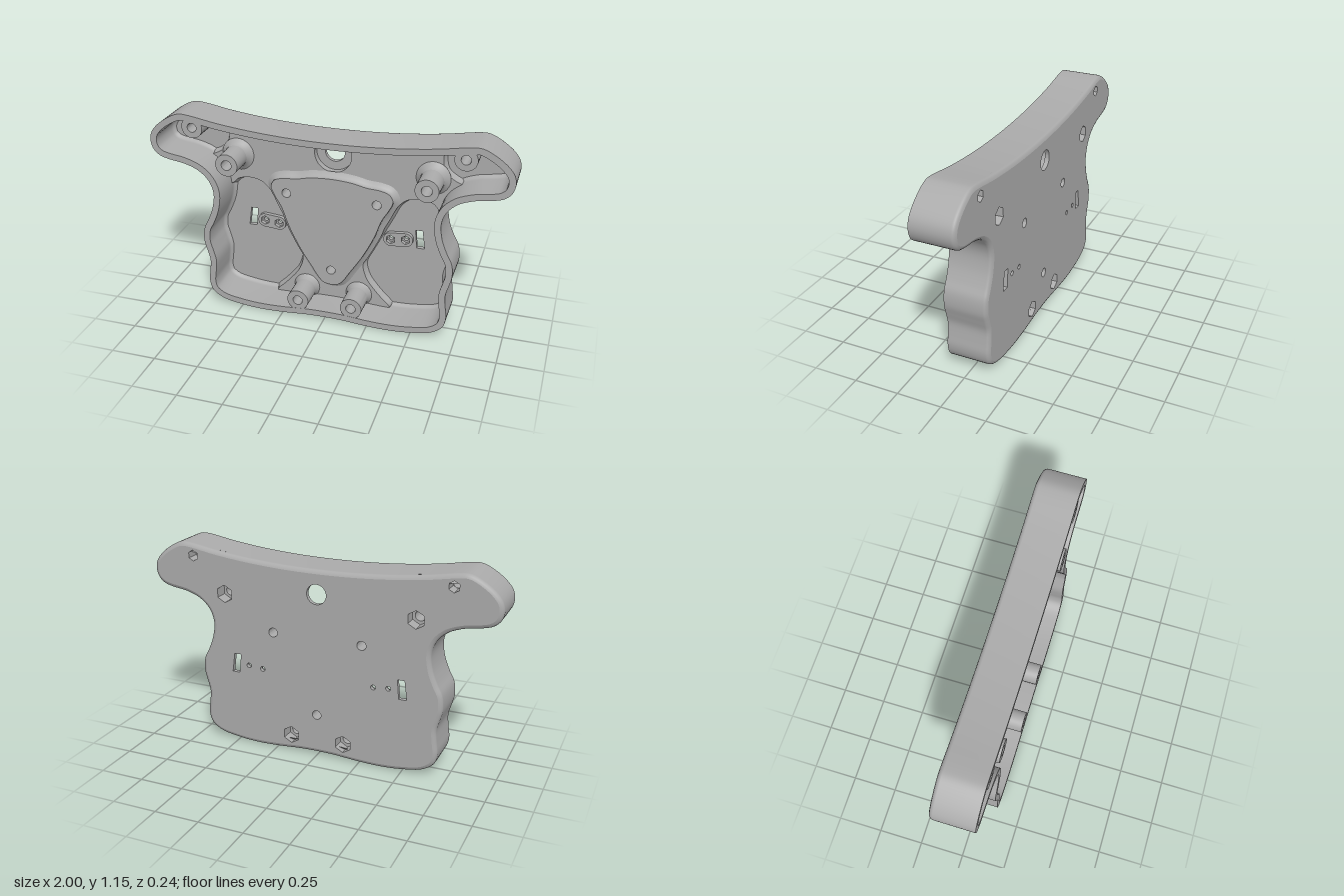
import * as THREE from 'three';
import { toCreasedNormals } from 'three/addons/utils/BufferGeometryUtils.js';

const V = (x, y) => new THREE.Vector2(x, y);
const FRONT = 0.12, BACK = -0.12, FLOOR = -0.095, STEP = -0.055, DECK = -0.015;

// Mirrors a half profile (top centre to bottom centre), counter-clockwise; optionally smoothed
function mirrored(half, samples = 0) {
  const right = half.map(([x, y]) => V(x, y));
  const left = half.slice(1, -1).reverse().map(([x, y]) => V(-x, y));
  let pts = [...right, ...left];
  if (samples) {
    const curve = new THREE.CatmullRomCurve3(pts.map(p => new THREE.Vector3(p.x, p.y, 0)), true, 'centripetal');
    pts = curve.getPoints(samples).slice(0, -1).map(p => V(p.x, p.y));
  }
  return THREE.ShapeUtils.area(pts) < 0 ? pts.reverse() : pts;
}

// Moves a counter-clockwise outline outward by d
function offset(pts, d) {
  const n = pts.length;
  return pts.map((p, i) => {
    const a = pts[(i + n - 1) % n], b = pts[(i + 1) % n];
    const t = V(b.x - a.x, b.y - a.y).normalize();
    return V(p.x + t.y * d, p.y - t.x * d);
  });
}

function disc(x, y, r, n = 28) {
  return Array.from({ length: n }, (_, i) => {
    const a = Math.PI / 2 + (i / n) * Math.PI * 2;
    return V(x + r * Math.cos(a), y + r * Math.sin(a));
  });
}

function shape(pts, holes = []) {
  const s = new THREE.Shape(pts);
  s.holes = holes.map(h => new THREE.Path(h));
  return s;
}

function slab(pts, holes, z0, z1) {
  const g = new THREE.ExtrudeGeometry(shape(pts, holes), { depth: z1 - z0, bevelEnabled: false });
  g.translate(0, 0, z0);
  return toCreasedNormals(g, 0.6);
}

function sheet(pts, holes, z) {
  return new THREE.ShapeGeometry(shape(pts, holes)).translate(0, 0, z);
}

// Wall lofted through [offset, z] levels of one outline, front to back
function skin(pts, levels) {
  const n = pts.length, pos = [], idx = [];
  for (const [d, z] of levels) for (const p of offset(pts, d)) pos.push(p.x, p.y, z);
  for (let k = 0; k < levels.length - 1; k++) {
    for (let i = 0; i < n; i++) {
      const a = k * n + i, b = k * n + (i + 1) % n;
      idx.push(a, a + n, b, b, a + n, b + n);
    }
  }
  const g = new THREE.BufferGeometry();
  g.setAttribute('position', new THREE.Float32BufferAttribute(pos, 3));
  g.setIndex(idx);
  g.computeVertexNormals();
  return g;
}

export function createModel() {
  const group = new THREE.Group();
  const grey = new THREE.MeshStandardMaterial({ color: 0xaaaaaa, side: THREE.DoubleSide });
  grey.name = 'plain grey';
  const add = (name, geometry) => {
    const m = new THREE.Mesh(geometry, grey);
    m.name = name;
    group.add(m);
  };

  const outline = mirrored([
    [0, 1.085], [0.2, 1.089], [0.4, 1.102], [0.6, 1.125], [0.77, 1.153], [0.82, 1.154], [0.87, 1.135],
    [0.95, 1.08], [0.99, 1.03], [1, 0.98], [0.985, 0.93], [0.95, 0.898], [0.9, 0.882], [0.8, 0.865],
    [0.72, 0.833], [0.665, 0.78], [0.64, 0.71], [0.65, 0.62], [0.68, 0.54], [0.709, 0.48], [0.715, 0.4],
    [0.7, 0.34], [0.685, 0.28], [0.69, 0.21], [0.697, 0.14], [0.68, 0.08], [0.62, 0.035], [0.5, 0.01],
    [0.38, 0.001], [0.25, 0.004], [0.1, 0.015], [0, 0.017]], 240);

  // Raised floor between the wing pockets and the two lower lobes
  const step = mirrored([
    [0, 1.062], [0.2, 1.067], [0.4, 1.078], [0.63, 1.105], [0.61, 1.05], [0.604, 0.98], [0.625, 0.92],
    [0.67, 0.885], [0.71, 0.862], [0.645, 0.8], [0.615, 0.71], [0.6, 0.7], [0.56, 0.735], [0.49, 0.75],
    [0.42, 0.735], [0.37, 0.69], [0.33, 0.61], [0.28, 0.51], [0.22, 0.39], [0.18, 0.3], [0.2, 0.21],
    [0.25, 0.14], [0.29, 0.095], [0.34, 0.038], [0.2, 0.036], [0, 0.04]], 220);

  const deck = mirrored([
    [0, 0.82], [0.12, 0.812], [0.2, 0.795], [0.28, 0.788], [0.33, 0.77], [0.35, 0.73], [0.325, 0.67],
    [0.29, 0.61], [0.25, 0.5], [0.18, 0.36], [0.11, 0.25], [0.075, 0.195], [0.045, 0.165], [0, 0.155]], 120);

  // Holes
  const bosses = [];
  const slots = [], padHoles = [];
  for (const s of [-1, 1]) {
    bosses.push(
      { name: 'wingBoss', x: s * 0.745, y: 1.083, r: 0.06, hole: 0.026, hex: 0.031, flare: 0 },
      { name: 'upperBoss', x: s * 0.555, y: 0.885, r: 0.064, hole: 0.029, hex: 0.05, flare: 0.03 },
      { name: 'lowerBoss', x: s * 0.157, y: 0.099, r: 0.062, hole: 0.028, hex: 0.05, flare: 0.015 });
    slots.push([V(s * 0.505, 0.54), V(s * 0.465, 0.54), V(s * 0.475, 0.43), V(s * 0.52, 0.43)]);
    padHoles.push([s * 0.33, 0.473], [s * 0.415, 0.481]);
  }
  const hexes = bosses.map(b => disc(b.x, b.y, b.hex, 6));
  const deckHoles = [[-0.26, 0.7], [0.26, 0.7], [0, 0.25]].map(([x, y]) => disc(x, y, 0.026));
  const centreHole = disc(0, 0.95, 0.056, 40);

  // Shell: rounded outer wall, inner wall, front rim and back plate
  add('outerWall', skin(outline, [[0, FRONT], [0, -0.097], [-0.003, -0.107], [-0.01, -0.115], [-0.023, BACK]]));
  add('innerWall', skin(outline, [[-0.036, FRONT], [-0.036, -0.07], [-0.042, -0.085], [-0.055, FLOOR]]));
  add('frontRim', sheet(outline, [offset(outline, -0.036)], FRONT));
  add('backPlate', slab(offset(outline, -0.023),
    [...hexes, ...slots, ...deckHoles, centreHole, ...padHoles.map(([x, y]) => disc(x, y, 0.014, 16))], BACK, FLOOR));

  // Raised floor with a round counterbore about the centre hole
  const bore = disc(0, 0.95, 0.105, 40);
  add('raisedFloor', sheet(step, [bore, ...deckHoles, ...hexes.filter((h, i) => bosses[i].flare)], STEP));
  add('raisedFloorEdge', skin(step, [[0, STEP], [0.005, -0.075], [0.015, FLOOR]]));
  add('counterboreWall', skin(bore, [[0, STEP], [0, FLOOR]]));

  // Central triangular platform with a flared foot
  add('platform', slab(deck, deckHoles, FLOOR, DECK));
  add('platformFoot', skin(deck, [[0.001, DECK - 0.012], [0.008, -0.042], [0.03, STEP]]));

  // Screw bosses: hexagonal pocket behind, round hole in front
  bosses.forEach((b, i) => {
    const ring = disc(b.x, b.y, b.r, 36);
    add(b.name + 'Base', slab(ring, [hexes[i]], FLOOR, -0.045));
    add(b.name, slab(ring, [disc(b.x, b.y, b.hole)], -0.045, FRONT - 0.001));
    if (b.flare) add(b.name + 'Foot', skin(ring, [[0.001, -0.015], [b.flare * 0.3, -0.04], [b.flare, STEP]]));
  });

  // Small two-hole pads on the lobes
  for (const s of [-1, 1]) {
    const [a, b] = padHoles.filter(([x]) => x * s > 0);
    const pad = new THREE.Shape();
    const [l, r] = s > 0 ? [a, b] : [b, a];
    pad.absarc(r[0], r[1], 0.041, -Math.PI / 2, Math.PI / 2);
    pad.absarc(l[0], l[1], 0.041, Math.PI / 2, Math.PI * 1.5);
    add('mountPad', slab(pad.getPoints(12), [a, b].map(([x, y]) => disc(x, y, 0.027, 6)), FLOOR, -0.072));
  }
  return group;
}
